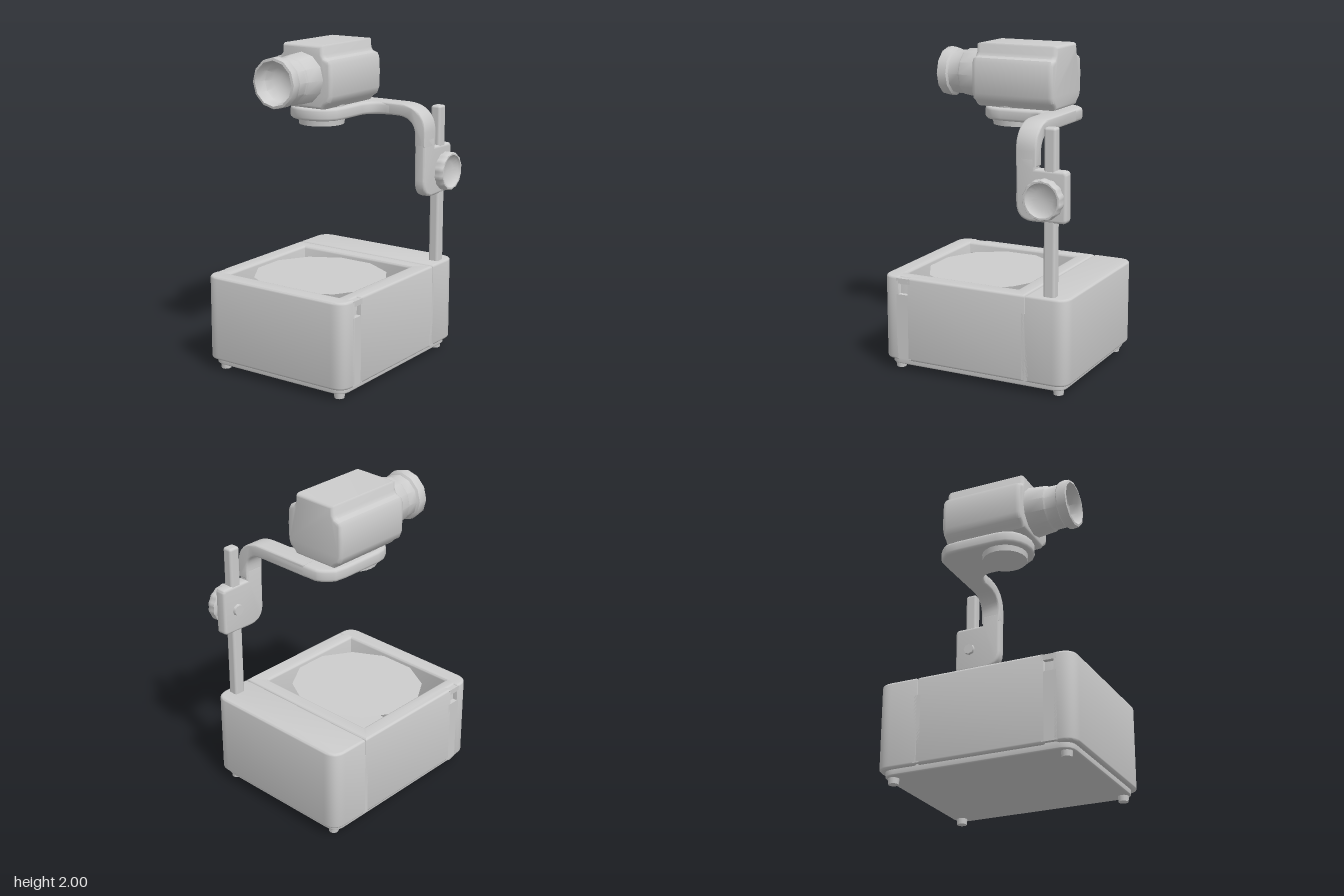
import * as THREE from 'three';
import { toCreasedNormals } from 'three/addons/utils/BufferGeometryUtils.js';
import { RoundedBoxGeometry } from 'three/addons/geometries/RoundedBoxGeometry.js';

const grey = new THREE.MeshStandardMaterial({ color: 0xcccccc });
grey.name = 'light grey';

export function createModel() {
  const group = new THREE.Group();

  const add = (name, geo, x = 0, y = 0, z = 0) => {
    const mesh = new THREE.Mesh(geo, grey);
    mesh.name = name;
    mesh.position.set(x, y, z);
    group.add(mesh);
  };
  // Box given by its limits
  const block = (name, x0, x1, y0, y1, z0, z1) =>
    add(name, new THREE.BoxGeometry(x1 - x0, y1 - y0, z1 - z0),
      (x0 + x1) / 2, (y0 + y1) / 2, (z0 + z1) / 2);

  // Rounded rectangle outline
  const outline = (x0, x1, y0, y1, r, Type = THREE.Shape) => {
    const s = new Type();
    s.moveTo(x0 + r, y0);
    s.lineTo(x1 - r, y0); s.quadraticCurveTo(x1, y0, x1, y0 + r);
    s.lineTo(x1, y1 - r); s.quadraticCurveTo(x1, y1, x1 - r, y1);
    s.lineTo(x0 + r, y1); s.quadraticCurveTo(x0, y1, x0, y1 - r);
    s.lineTo(x0, y0 + r); s.quadraticCurveTo(x0, y0, x0 + r, y0);
    return s;
  };

  // Extrusion from a to b with soft edges that stay inside the outline
  const extrude = (shape, a, b, size, thick = size) => {
    const g = new THREE.ExtrudeGeometry(shape, {
      depth: b - a - 2 * thick, curveSegments: 10, bevelEnabled: true,
      bevelSize: size, bevelOffset: -size, bevelThickness: thick, bevelSegments: 3,
    });
    return g.translate(0, 0, a + thick);
  };
  const crease = (g) => toCreasedNormals(g, 0.7);
  // Horizontal slab: shape y is -z
  const slab = (shape, y0, y1, size, thick) =>
    crease(extrude(shape, y0, y1, size, thick).rotateX(-Math.PI / 2));

  // Base plate and feet
  add('basePlate', slab(outline(-0.515, 0.46, -0.59, 0.59, 0.08), 0.035, 0.1, 0.008));
  for (const x of [-0.455, 0.405]) for (const z of [-0.54, 0.54])
    add('foot', new THREE.CylinderGeometry(0.035, 0.03, 0.045, 12), x, 0.0225, z);

  // Cabinet: rear section, and front section with a window and two side slots
  const L = -0.541, R = 0.487;
  const rear = new THREE.Shape();
  rear.moveTo(L, 0.357);
  rear.lineTo(R, 0.357);
  rear.lineTo(R, 0.53); rear.quadraticCurveTo(R, 0.62, 0.395, 0.62);
  rear.lineTo(-0.45, 0.62); rear.quadraticCurveTo(L, 0.62, L, 0.53);
  add('rearCabinet', slab(rear, 0.07, 0.602, 0.015));

  const front = new THREE.Shape();
  front.moveTo(L, 0.351);
  for (const [x, z] of [[L, 0.44], [L + 0.03, 0.44], [L + 0.03, 0.505], [L, 0.505], [L, 0.53]])
    front.lineTo(x, -z);
  front.quadraticCurveTo(L, -0.62, -0.45, -0.62);
  front.lineTo(0.395, -0.62); front.quadraticCurveTo(R, -0.62, R, -0.53);
  for (const [x, z] of [[R, 0.505], [R - 0.03, 0.505], [R - 0.03, 0.44], [R, 0.44], [R, -0.351]])
    front.lineTo(x, -z);
  front.holes.push(outline(-0.44, 0.38, -0.51, 0.26, 0.002, THREE.Path));
  add('frontCabinet', slab(front, 0.07, 0.602, 0.015));

  // Fill the slots above and below the latch pockets, and the seam between sections
  for (const [x0, x1] of [[L, L + 0.045], [R - 0.045, R]]) {
    block('pocketBase', x0, x1, 0.078, 0.492, 0.425, 0.52);
    block('pocketTop', x0, x1, 0.56, 0.594, 0.425, 0.52);
  }
  block('seamBase', L, R, 0.078, 0.49, -0.375, -0.333);
  block('seamCore', L + 0.03, R - 0.03, 0.2, 0.59, -0.375, -0.333);

  // Lens plate with twelve sides, and recessed corner fillers
  const rx = 0.425, rz = 0.4, cx = -0.03, cz = 0.125, lensY = 0.572;
  const disc = new THREE.CircleGeometry(1, 12, Math.PI / 12);
  disc.rotateX(-Math.PI / 2).scale(rx, 1, rz);
  add('stageLens', disc, cx, lensY, cz);
  for (const sx of [-1, 1]) for (const sz of [-1, 1]) {
    const corner = [sx * 0.41, -0.045, sz * 0.385];
    const p = [15, 45, 75].map((d) => {
      const t = d * Math.PI / 180;
      return [sx * rx * Math.cos(t), 0, sz * rz * Math.sin(t)];
    });
    const tris = [[p[0], p[1]], [p[1], p[2]]]
      .flatMap(([a, b]) => (sx * sz > 0 ? [corner, b, a] : [corner, a, b]));
    const g = new THREE.BufferGeometry();
    g.setAttribute('position', new THREE.Float32BufferAttribute(tris.flat(), 3));
    g.computeVertexNormals();
    add('stageCorner', g, cx, lensY, cz);
  }

  // Post
  add('post', new RoundedBoxGeometry(0.066, 1.1, 0.075, 3, 0.016), 0.424, 1.045, -0.493);

  // Sliding bracket: shape x is -z
  const bracket = new THREE.Shape();
  bracket.moveTo(0.58, 1.045);
  bracket.quadraticCurveTo(0.6, 1.05, 0.6, 1.07);
  bracket.lineTo(0.6, 1.32); bracket.quadraticCurveTo(0.6, 1.35, 0.57, 1.35);
  bracket.lineTo(0.405, 1.35); bracket.lineTo(0.405, 1.42);
  bracket.lineTo(0.28, 1.42); bracket.lineTo(0.28, 1.15);
  bracket.quadraticCurveTo(0.28, 1.04, 0.39, 1.04);
  add('bracket', crease(extrude(bracket, 0.386, 0.46, 0.016).rotateY(Math.PI / 2)));

  // Bent arm
  const arm = new THREE.Shape();
  arm.moveTo(0.46, 1.36);
  arm.lineTo(0.46, 1.45); arm.bezierCurveTo(0.46, 1.55, 0.39, 1.615, 0.27, 1.615);
  arm.lineTo(-0.1, 1.615); arm.lineTo(-0.1, 1.54);
  arm.lineTo(0.26, 1.54); arm.bezierCurveTo(0.34, 1.54, 0.387, 1.5, 0.387, 1.42);
  arm.lineTo(0.387, 1.36);
  add('arm', crease(extrude(arm, -0.41, -0.28, 0.01)));

  // Pad under the head, sweeping back to the arm
  const pad = new THREE.Shape();
  pad.moveTo(0.2, 0.41);
  pad.lineTo(-0.18, 0.41); pad.quadraticCurveTo(-0.23, 0.4, -0.28, 0.33);
  pad.lineTo(-0.29, 0.25); pad.lineTo(-0.29, -0.02);
  pad.bezierCurveTo(-0.29, -0.24, 0.07, -0.24, 0.07, -0.02);
  pad.lineTo(0.07, 0.18); pad.quadraticCurveTo(0.08, 0.28, 0.2, 0.28);
  add('headPad', slab(pad, 1.537, 1.614, 0.018));
  add('pivotDisc', new THREE.CylinderGeometry(0.145, 0.14, 0.045, 24), -0.11, 1.522, 0);
  add('pivotNeck', new THREE.CylinderGeometry(0.15, 0.15, 0.04, 24), -0.11, 1.62, 0);

  // Projection head: mirrored stepped cross-section
  const half = [[0.14, 2.0], [0.147, 1.99], [0.149, 1.945], [0.162, 1.925], [0.195, 1.915],
    [0.208, 1.89], [0.214, 1.8], [0.211, 1.7], [0.196, 1.66], [0.165, 1.64], [0.145, 1.617]];
  const head = new THREE.Shape([...half, ...half.map(([x, y]) => [-x, y]).reverse()]
    .map(([x, y]) => new THREE.Vector2(x, y)));
  add('head', crease(extrude(head, -0.34, 0.2, 0.02, 0.03)), -0.112);

  // Lens barrel with hollow front
  const lathe = (pts, n) =>
    new THREE.LatheGeometry(pts.map(([r, y]) => new THREE.Vector2(r, y)), n);
  const barrel = lathe([[0.16, 0.17], [0.157, 0.22], [0.146, 0.325], [0.138, 0.335],
    [0.136, 0.405], [0.15, 0.415], [0.154, 0.44], [0.15, 0.475], [0.135, 0.478],
    [0.125, 0.45], [0.12, 0.4], [0.09, 0.365], [0.05, 0.345], [0, 0.34]], 12);
  add('lensBarrel', crease(barrel.rotateX(Math.PI / 2)), -0.112, 1.797, 0);

  // Clamp knob with scalloped rim and dished face
  const knob = lathe([[0, 0.472], [0.1, 0.475], [0.118, 0.485], [0.12, 0.51], [0.118, 0.53],
    [0.112, 0.54], [0.102, 0.54], [0.094, 0.525], [0.06, 0.51], [0, 0.503]], 56);
  const pos = knob.attributes.position;
  for (let i = 0; i < pos.count; i++) {
    const x = pos.getX(i), z = pos.getZ(i);
    if (Math.hypot(x, z) < 0.105) continue;
    const k = 1 + 0.025 * Math.cos(14 * Math.atan2(z, x));
    pos.setX(i, x * k);
    pos.setZ(i, z * k);
  }
  add('knob', crease(knob.rotateZ(-Math.PI / 2)), 0, 1.19, -0.48);
  add('knobStem', new THREE.CylinderGeometry(0.035, 0.035, 0.1, 16).rotateZ(Math.PI / 2),
    0.44, 1.19, -0.48);
  add('clampNut', new THREE.CylinderGeometry(0.04, 0.035, 0.03, 8).rotateZ(-Math.PI / 2),
    0.384, 1.19, -0.495);

  return group;
}
